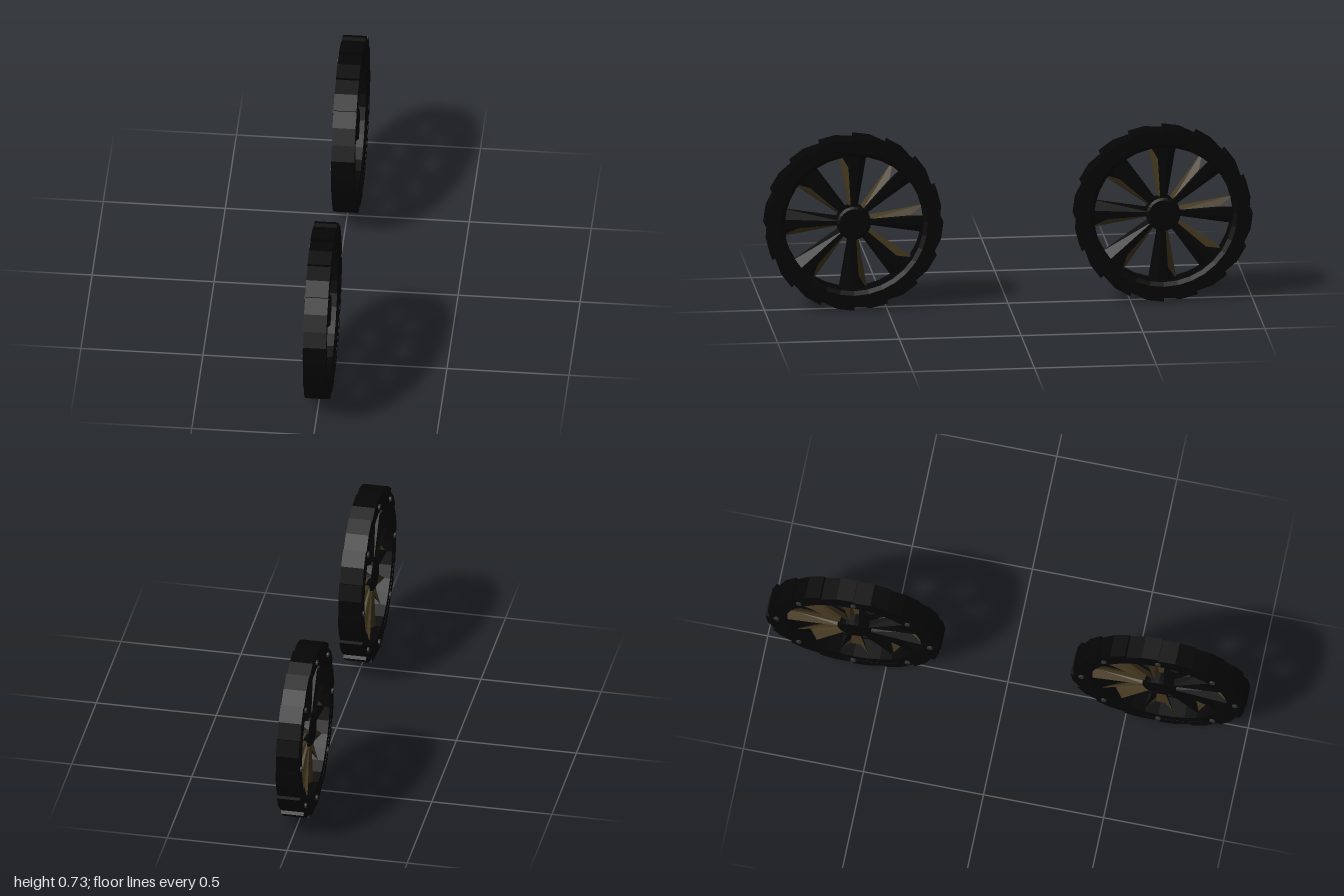
import * as THREE from 'three';

const black = new THREE.MeshStandardMaterial({ color: 0x050505, flatShading: true, side: THREE.DoubleSide });
const brown = new THREE.MeshStandardMaterial({ color: 0x443820, flatShading: true, side: THREE.DoubleSide });
const steel = new THREE.MeshStandardMaterial({ color: 0x303030, flatShading: true });

const SPOKES = 8, PLATES = 16;

function add(parent, name, geometry, material) {
  const mesh = new THREE.Mesh(geometry, material);
  mesh.name = name;
  parent.add(mesh);
  return mesh;
}

// Turned part whose axis is the wheel axle (local z)
function turned(points, sides) {
  const profile = points.map(([r, z]) => new THREE.Vector2(r, z));
  return new THREE.LatheGeometry(profile, sides).rotateX(Math.PI / 2);
}

// Ridged, flaring spoke face; facing 1 looks outward, -1 looks inward
function spokeGeometry(facing, ridge) {
  const section = (r, w) => [[-w, -0.022], [-w * 0.35, ridge], [w * 0.35, ridge], [w, -0.022]]
    .map(([x, z]) => [x * facing, r, z]);
  const inner = section(0.05, 0.019), outer = section(0.295, 0.06);
  const positions = [];
  for (let i = 0; i < 3; i++) {
    positions.push(...inner[i], ...inner[i + 1], ...outer[i + 1]);
    positions.push(...inner[i], ...outer[i + 1], ...outer[i]);
  }
  const geometry = new THREE.BufferGeometry();
  geometry.setAttribute('position', new THREE.Float32BufferAttribute(positions, 3));
  geometry.computeVertexNormals();
  return geometry;
}

// Tread plate: lifted at its leading end, tucked under the next plate
function plateGeometry() {
  const step = (Math.PI * 2) / PLATES;
  const at = (t, r) => new THREE.Vector2(Math.sin(t * step) * r, Math.cos(t * step) * r);
  const shape = new THREE.Shape([
    at(0, 0.365), at(0.5, 0.362), at(1, 0.35), at(1, 0.325), at(0.5, 0.325), at(0, 0.325),
  ]);
  return new THREE.ExtrudeGeometry(shape, { depth: 0.095, bevelEnabled: false }).translate(0, 0, -0.046);
}

function createWheel() {
  const wheel = new THREE.Group();

  // Rim with a chamfered inner edge on the outer side
  add(wheel, 'rim', turned([
    [0.285, -0.045], [0.345, -0.045], [0.345, 0.048], [0.302, 0.048], [0.285, 0.038], [0.285, -0.045],
  ], 32), black);

  // Hub
  add(wheel, 'hub', turned([
    [0, -0.036], [0.06, -0.036], [0.07, -0.028], [0.07, 0.028], [0.06, 0.034], [0, 0.034],
  ], 24), black);

  // Tread
  const plate = plateGeometry();
  for (let i = 0; i < PLATES; i++) {
    add(wheel, 'treadPlate', plate, black).rotation.z = (i / PLATES) * Math.PI * 2;
  }

  // Spokes, each with a bolt at its rim end
  const outside = spokeGeometry(1, 0.018), inside = spokeGeometry(-1, 0.01);
  const bolt = new THREE.CylinderGeometry(0.0115, 0.0115, 0.016, 10).rotateX(Math.PI / 2).translate(0, 0.32, -0.045);
  for (let i = 0; i < SPOKES; i++) {
    const arm = new THREE.Group();
    arm.name = 'spoke';
    arm.rotation.z = (i / SPOKES) * Math.PI * 2;
    add(arm, 'spokeOutside', outside, black);
    add(arm, 'spokeInside', inside, brown);
    add(arm, 'rimBolt', bolt, steel);
    wheel.add(arm);
  }

  wheel.rotation.y = Math.PI / 2;
  return wheel;
}

export function createModel() {
  const model = new THREE.Group();
  for (const [name, z] of [['frontWheel', 0.635], ['rearWheel', -0.635]]) {
    const wheel = createWheel();
    wheel.name = name;
    wheel.position.set(0, 0.365, z);
    model.add(wheel);
  }
  return model;
}
